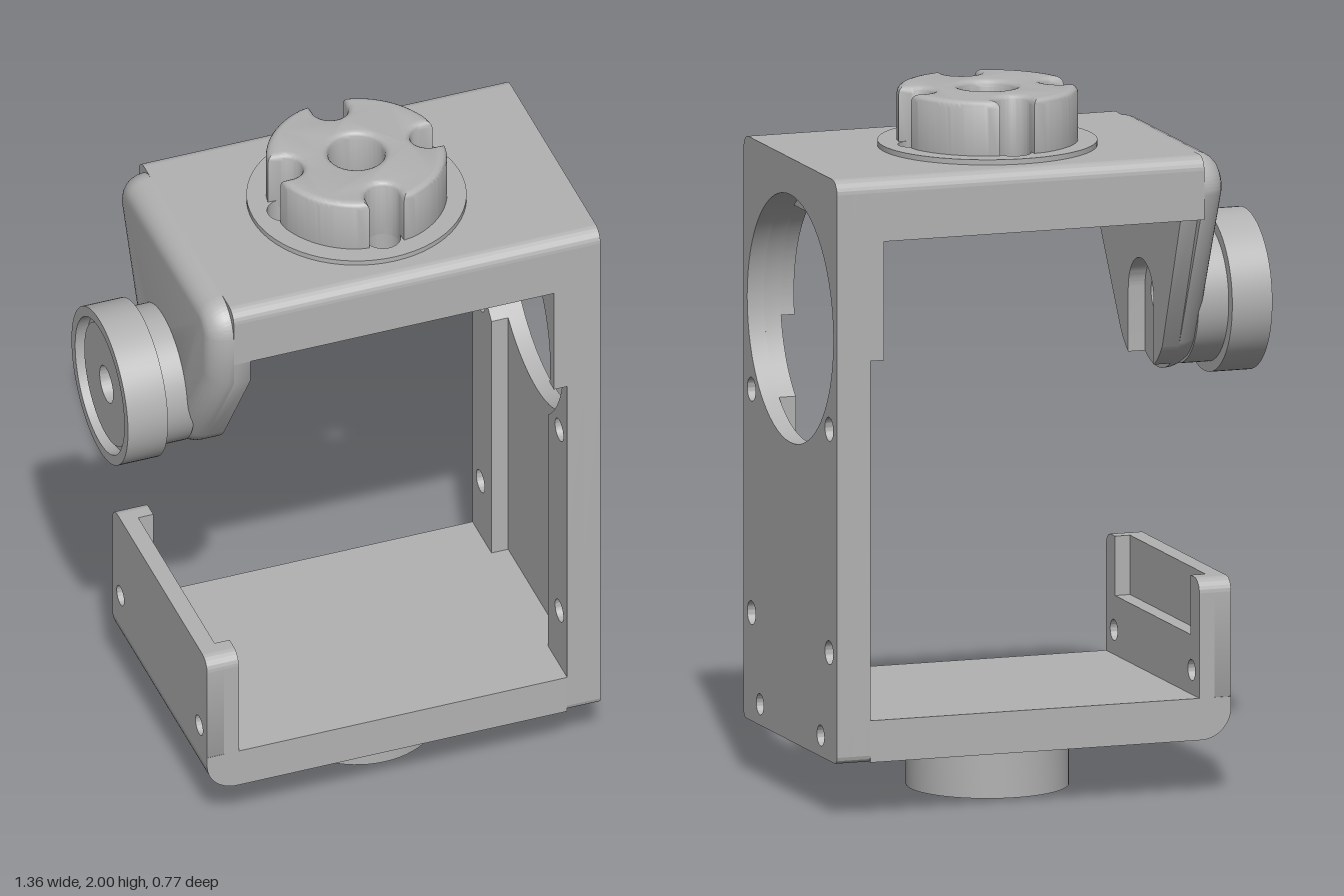
import * as THREE from 'three';
import { toCreasedNormals } from 'three/addons/utils/BufferGeometryUtils.js';

const grey = new THREE.MeshStandardMaterial({ color: 0xb2b2b2 });
grey.name = 'light grey';
const PI = Math.PI;

export function createModel() {
  const model = new THREE.Group();
  model.name = 'clampBracket';

  const add = (name, geo) => {
    const mesh = new THREE.Mesh(toCreasedNormals(geo, 0.6), grey);
    mesh.name = name;
    model.add(mesh);
    return mesh;
  };
  const circle = (x, y, r) => new THREE.Path().absarc(x, y, r, 0, PI * 2, false);
  const polygon = (pts) => new THREE.Shape(pts.map((p) => new THREE.Vector2(...p)));
  const extrude = (shape, depth, extra = {}) =>
    new THREE.ExtrudeGeometry(shape, { depth, bevelEnabled: false, curveSegments: 32, ...extra });
  // Shape drawn in (z, y), extruded between two x positions
  const acrossX = (shape, x0, x1) => extrude(shape, x1 - x0).rotateY(-PI / 2).translate(x1, 0, 0);
  // Shape drawn in (x, -z), extruded between two heights
  const upY = (shape, y0, y1) => extrude(shape, y1 - y0).rotateX(-PI / 2).translate(0, y0, 0);
  // Rectangle in (z, y) with its own radius for the bottom and top corners
  const panel = (w, y0, y1, rb, rt) => {
    const s = new THREE.Shape();
    s.absarc(w - rb, y0 + rb, rb, -PI / 2, 0, false);
    s.absarc(w - rt, y1 - rt, rt, 0, PI / 2, false);
    s.absarc(-w + rt, y1 - rt, rt, PI / 2, PI, false);
    s.absarc(-w + rb, y0 + rb, rb, PI, PI * 1.5, false);
    return s;
  };

  const W = 0.385, TOP = 1.83, AXIS = 1.37, BORE = 0.355, KX = 0.09;

  // Side wall: outer skin, pocketed inner frame and upper thickening strips
  const screws = () => [-1, 1].flatMap((s) => [
    circle(s * 0.32, 1.11, 0.034), circle(s * 0.32, 0.47, 0.034), circle(s * 0.25, 0.22, 0.03)]);
  const skin = panel(W, 0.16, TOP, 0.02, 0.04);
  skin.holes.push(circle(0, AXIS, BORE), ...screws());
  add('sideWall', acrossX(skin, 0.63, 0.68));

  const frame = panel(W, 0.16, TOP, 0.02, 0.04);
  const pocketHalf = 0.23;
  const a = Math.acos(pocketHalf / BORE);
  const pocket = new THREE.Path();
  pocket.moveTo(-pocketHalf, 0.28);
  pocket.lineTo(pocketHalf, 0.28);
  pocket.absarc(0, AXIS, BORE, -a, PI + a, false);
  pocket.closePath();
  frame.holes.push(pocket, ...screws());
  add('sideWallRails', acrossX(frame, 0.58, 0.63));

  const strip = new THREE.Shape();
  strip.moveTo(W, 1.31);
  strip.lineTo(W, 1.66);
  strip.absarc(0, AXIS, BORE, Math.asin(0.29 / BORE), Math.asin(-0.06 / BORE), true);
  strip.closePath();
  const mirrored = new THREE.Shape(strip.getPoints(32).map((p) => new THREE.Vector2(-p.x, p.y)));
  for (const s of [strip, mirrored]) add('wallStrip', acrossX(s, 0.54, 0.58));

  // Top plate with five holes, filleted side rails below and beside it
  const knobHoles = (r) => [circle(KX, 0, 0.085),
    ...[0, 1, 2, 3].map((k) => circle(KX + 0.215 * Math.cos(k * PI / 2), 0.215 * Math.sin(k * PI / 2), r))];
  const plate = polygon([[-0.42, -0.34], [0.58, -0.34], [0.58, 0.34], [-0.42, 0.34]]);
  plate.holes.push(...knobHoles(0.05));
  add('topPlate', upY(plate, 1.75, TOP));
  for (const s of [-1, 1]) {
    const rail = new THREE.Shape();
    rail.moveTo(s * 0.34, 1.65);
    rail.lineTo(s * W, 1.65);
    rail.absarc(s * 0.345, TOP - 0.04, 0.04, s > 0 ? 0 : PI, PI / 2, s < 0);
    rail.lineTo(s * 0.34, TOP);
    add('topRail', acrossX(rail, -0.42, 0.58));
  }
  add('topEndRib', new THREE.BoxGeometry(0.05, 0.12, 0.68).translate(0.565, 1.71, 0));

  // Hanging arm outline: wide at the top, tapering to a round lower end
  const armOutline = (inset, slot) => {
    const r = 0.21 - inset, w = W - inset, t = TOP - inset, c = 0.04, n = 0.569;
    const tz = r * Math.cos(n), ty = AXIS - r * Math.sin(n);
    const side = ty + (w - tz) / Math.tan(n);
    const s = new THREE.Shape();
    s.moveTo(-w, side);
    if (slot) {
      const q = Math.acos(slot / r);
      s.absarc(0, AXIS, r, PI + n, PI * 2 - PI + q, false);
      s.absarc(0, AXIS, slot, PI, 0, true);
      s.absarc(0, AXIS, r, -q, -n, false);
    } else {
      s.absarc(0, AXIS, r, PI + n, PI * 2 - n, false);
    }
    s.lineTo(w, side);
    s.absarc(w - c, t - c, c, 0, PI / 2, false);
    s.absarc(-w + c, t - c, c, PI / 2, PI, false);
    s.closePath();
    return s;
  };
  add('armInnerLayer', acrossX(armOutline(0, 0.105), -0.42, -0.37));
  // Outer layer: rounded outside, flattened where it meets the inner layer
  const armOuter = armOutline(0.06, 0);
  armOuter.holes.push(circle(0, AXIS, 0.115));
  const armGeo = extrude(armOuter, 0.01, {
    bevelEnabled: true, bevelThickness: 0.07, bevelSize: 0.06, bevelSegments: 6 })
    .rotateY(-PI / 2).translate(-0.41, 0, 0);
  const pos = armGeo.attributes.position;
  for (let i = 0; i < pos.count; i++) pos.setX(i, Math.min(pos.getX(i), -0.42));
  add('armOuterLayer', armGeo);

  // Floor with its rounded outer corner
  const floor = new THREE.Shape();
  floor.moveTo(0.58, 0.16);
  floor.lineTo(0.58, 0.28);
  floor.lineTo(-0.5, 0.28);
  floor.absarc(-0.41, 0.25, 0.09, PI, PI * 1.5, false);
  floor.closePath();
  add('floor', extrude(floor, W * 2).translate(0, 0, -W));

  // Hook: thin outer wall, inner lip with two end posts
  const hookHoles = () => [-1, 1].map((s) => circle(s * 0.32, 0.35, 0.03));
  const hookWall = panel(W, 0.28, 0.62, 0.001, 0.04);
  hookWall.holes.push(...hookHoles());
  add('hookWall', acrossX(hookWall, -0.5, -0.45));
  const lip = new THREE.Shape();
  lip.moveTo(-W, 0.28);
  lip.lineTo(W, 0.28);
  lip.absarc(W - 0.04, 0.58, 0.04, 0, PI / 2, false);
  lip.lineTo(0.31, 0.62);
  lip.lineTo(0.31, 0.45);
  lip.lineTo(-0.31, 0.45);
  lip.lineTo(-0.31, 0.62);
  lip.absarc(-W + 0.04, 0.58, 0.04, PI / 2, PI, false);
  lip.closePath();
  lip.holes.push(...hookHoles());
  add('hookLip', acrossX(lip, -0.45, -0.405));

  // Top knob: flange and notched grip
  const flange = new THREE.Shape().absarc(KX, 0, 0.31, 0, PI * 2, false);
  flange.holes.push(...knobHoles(0.05));
  add('topKnobFlange', upY(flange, TOP, 1.845));
  const grip = new THREE.Shape();
  const R = 0.235, d = 0.215, r = 0.07;
  const al = Math.acos((R * R + d * d - r * r) / (2 * R * d));
  const be = Math.atan2(R * Math.sin(al), R * Math.cos(al) - d);
  for (let k = 0; k < 4; k++) {
    const f = (k + 1) * PI / 2;
    grip.absarc(0, 0, R, f - PI / 2 + al, f - al, false);
    grip.absarc(d * Math.cos(f), d * Math.sin(f), r, f - be, f + be, true);
  }
  grip.holes.push(circle(0, 0, 0.1));
  add('topKnobGrip', extrude(grip, 0.16, {
    bevelEnabled: true, bevelThickness: 0.02, bevelSize: 0.02, bevelSegments: 4, curveSegments: 16 })
    .rotateX(-PI / 2).translate(KX, 1.82, 0));

  // Round bottom foot and side knob
  const lathe = (pts) => new THREE.LatheGeometry(pts.map((p) => new THREE.Vector2(...p)), 64);
  add('bottomFoot', lathe([[0, 0.02], [0.18, 0.02], [0.18, 0.035], [0.2, 0.035], [0.2, 0], [0.23, 0],
    [0.23, 0.13], [0.165, 0.13], [0.17, 0.142], [0.185, 0.153], [0.21, 0.161]]).translate(KX, 0, 0));
  add('sideKnob', lathe([[0.055, 0.47], [0.2, 0.47], [0.2, 0.56], [0.23, 0.56], [0.23, 0.68], [0.2, 0.68],
    [0.2, 0.645], [0.18, 0.645], [0.18, 0.66], [0.055, 0.66], [0.055, 0.47]])
    .rotateZ(PI / 2).translate(0, AXIS, 0));

  return model;
}
